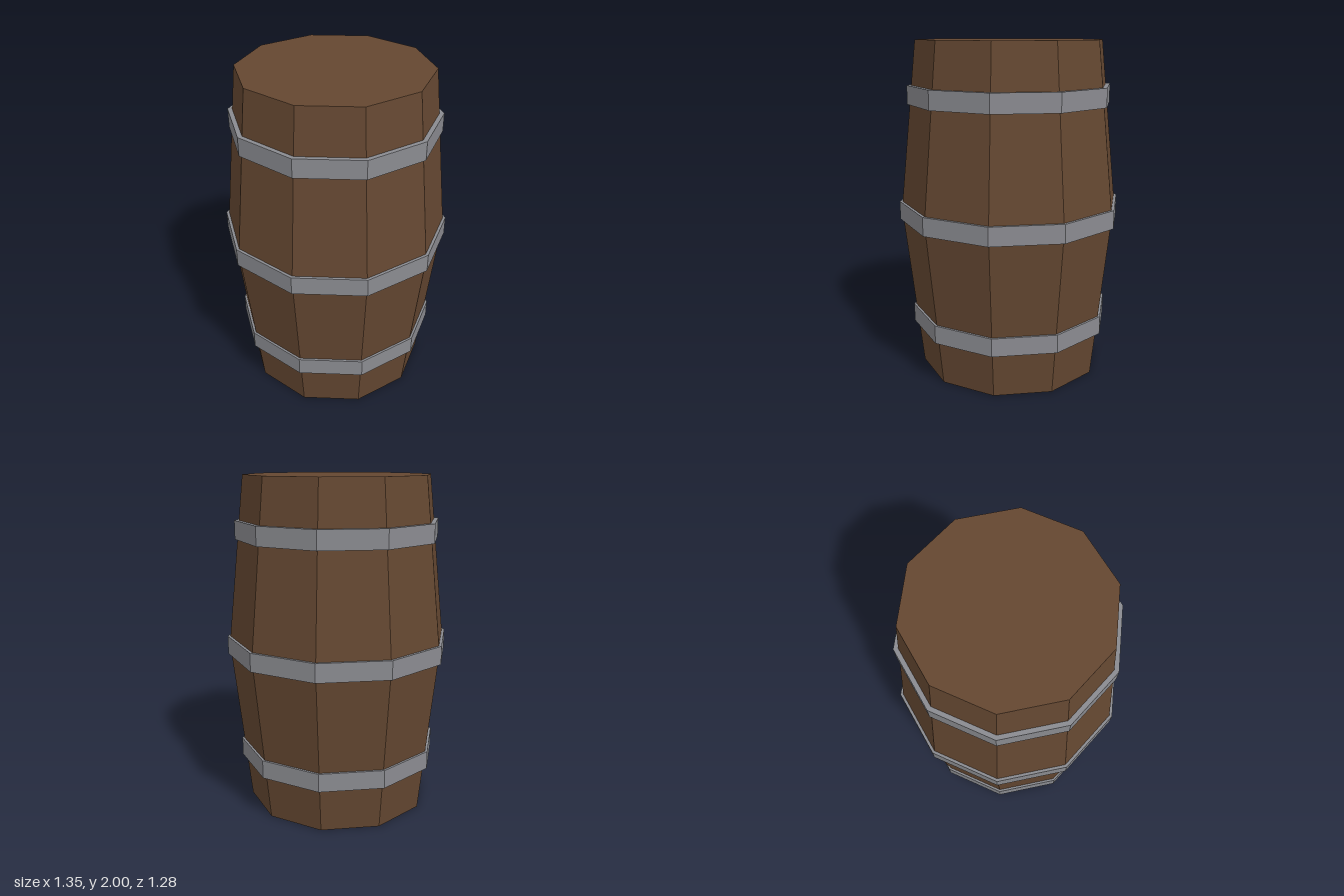
import * as THREE from 'three';

const SIDES = 10;
const END_RADIUS = 0.555, BELLY_RADIUS = 0.663;

const wood = new THREE.MeshStandardMaterial({ color: 0x644731 });
wood.name = 'brown wood';
const iron = new THREE.MeshStandardMaterial({ color: 0x8a8b90 });
iron.name = 'grey iron';

// Faceted ten-sided solid turned from [radius, height] pairs, with a corner on the x axis
function turned(name, profile, material) {
  const points = profile.map(([r, y]) => new THREE.Vector2(r, y));
  const geometry = new THREE.LatheGeometry(points, SIDES, Math.PI / 2).toNonIndexed();
  geometry.computeVertexNormals();
  const mesh = new THREE.Mesh(geometry, material);
  mesh.name = name;
  return mesh;
}

// Radius of the staves at a given height
const staveRadius = (y) => THREE.MathUtils.lerp(BELLY_RADIUS, END_RADIUS, Math.abs(y - 1));

export function createModel() {
  const group = new THREE.Group();
  group.name = 'barrel';

  // Bulging staves
  group.add(turned('staves', [[END_RADIUS, 0], [BELLY_RADIUS, 1], [END_RADIUS, 2]], wood));

  // Flat lids at both ends
  for (const [name, y, tilt] of [['topLid', 2, -1], ['bottomLid', 0, 1]]) {
    const lid = new THREE.Mesh(new THREE.CircleGeometry(END_RADIUS, SIDES), wood);
    lid.name = name;
    lid.rotation.x = tilt * Math.PI / 2;
    lid.position.y = y;
    group.add(lid);
  }

  // Straight-sided hoops sunk slightly into the staves
  const hoops = [['lowerHoop', 0.27, 0.38, 0.61], ['middleHoop', 0.937, 1.047, 0.675], ['upperHoop', 1.63, 1.74, 0.61]];
  for (const [name, y0, y1, radius] of hoops) {
    const inner = Math.min(staveRadius(y0), staveRadius(y1)) - 0.01;
    group.add(turned(name, [[inner, y0], [radius, y0], [radius, y1], [inner, y1]], iron));
  }

  return group;
}
